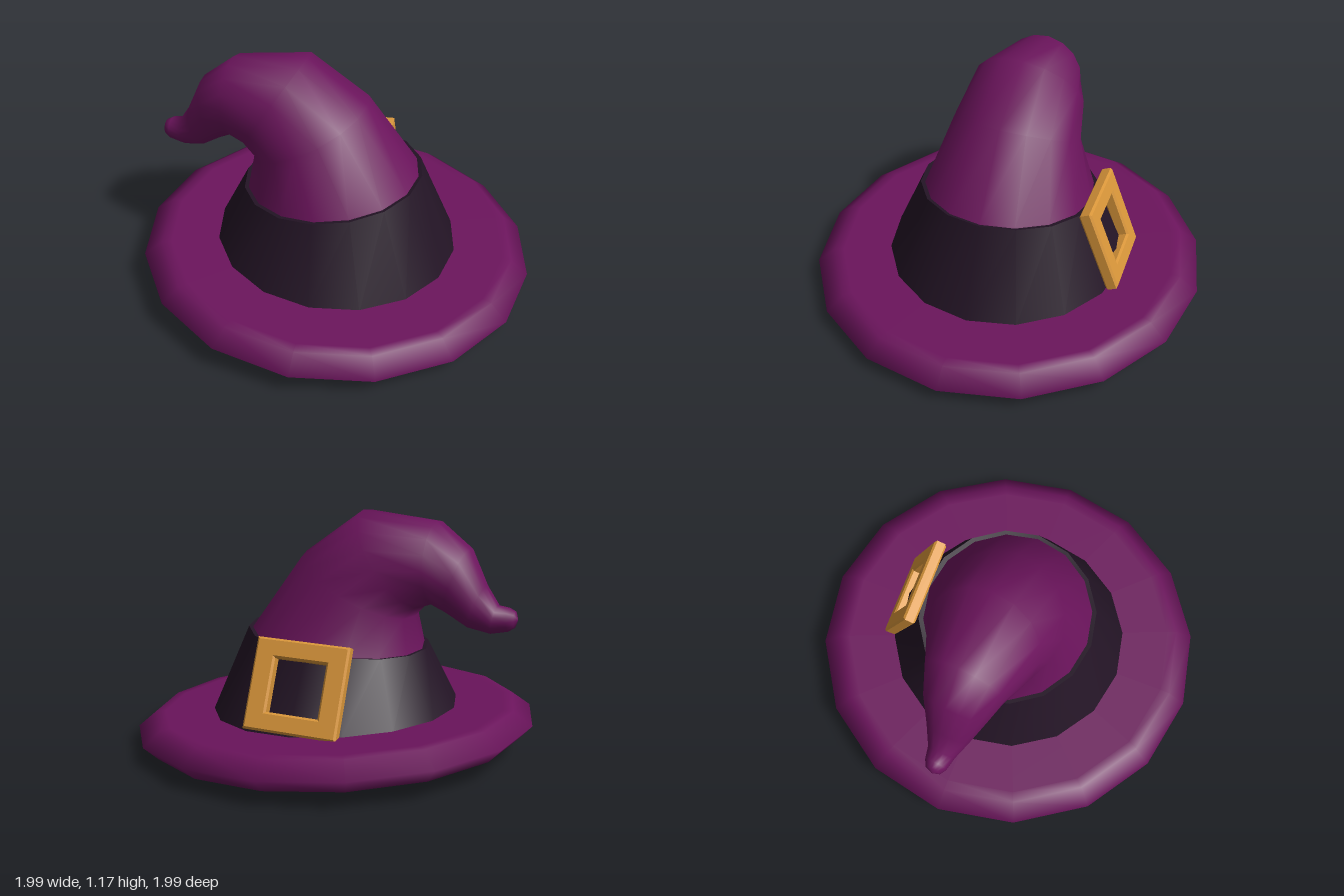
import * as THREE from 'three';

const SIDES = 16;
const PHASE = 0.09;

const material = (color) => new THREE.MeshStandardMaterial({ color, side: THREE.DoubleSide });

// Skin over rings, each given as [outerX, outerY, innerX, innerY, halfDepth]
function loft(rings, drift = 0) {
  const positions = [];
  const index = [];
  rings.forEach(([ox, oy, ix, iy, depth], r) => {
    const cx = (ox + ix) / 2, cy = (oy + iy) / 2;
    for (let i = 0; i < SIDES; i++) {
      const a = (i / SIDES) * Math.PI * 2 - PHASE;
      const c = Math.cos(a);
      positions.push(cx + (ox - ix) / 2 * c, cy + (oy - iy) / 2 * c, cx * drift + depth * Math.sin(a));
      if (r === rings.length - 1) continue;
      const p = r * SIDES + i, q = r * SIDES + (i + 1) % SIDES;
      index.push(p, p + SIDES, q, q, p + SIDES, q + SIDES);
    }
  });
  const geometry = new THREE.BufferGeometry();
  geometry.setAttribute('position', new THREE.Float32BufferAttribute(positions, 3));
  geometry.setIndex(index);
  geometry.computeVertexNormals();
  return geometry;
}

function rectangle(path, w, h) {
  path.moveTo(-w / 2, -h / 2);
  path.lineTo(w / 2, -h / 2);
  path.lineTo(w / 2, h / 2);
  path.lineTo(-w / 2, h / 2);
  path.closePath();
  return path;
}

export function createModel() {
  const hat = new THREE.Group();
  hat.name = 'pointedHat';
  const purple = material(0x6b145c);
  const dark = material(0x231425);
  const gold = material(0xd9963a);

  const add = (name, geometry, mat) => {
    const mesh = new THREE.Mesh(geometry, mat);
    mesh.name = name;
    hat.add(mesh);
    return mesh;
  };

  // Tilted disc brim with a pointed rim
  const profile = [[0, -0.07], [0.88, -0.07], [0.93, -0.068], [1, 0], [0.91, 0.07], [0.86, 0.072], [0, 0.072]]
    .map(([x, y]) => new THREE.Vector2(x, y));
  const brim = add('brim', new THREE.LatheGeometry(profile, SIDES, PHASE), purple);
  brim.position.y = 0.12;
  brim.rotation.z = -0.05;

  // Band: sloping wall, then a thin lip (doubled ring keeps the edge sharp)
  const bandTop = [0.43, 0.597, -0.47, 0.507, 0.45];
  add('band', loft([
    [0.62, 0.15, -0.62, 0.215, 0.62],
    bandTop, bandTop,
    [0.39, 0.585, -0.43, 0.503, 0.40],
  ]), dark);

  // Crown: bends over to the side and ends in a small rounded tip
  add('crown', loft([
    [0.45, 0.52, -0.46, 0.44, 0.45],
    [0.41, 0.595, -0.45, 0.51, 0.425],
    [0.15, 0.96, -0.41, 0.665, 0.325],
    [-0.15, 1.175, -0.455, 0.715, 0.285],
    [-0.52, 1.135, -0.51, 0.735, 0.205],
    [-0.68, 1.01, -0.575, 0.70, 0.16],
    [-0.76, 0.84, -0.68, 0.635, 0.11],
    [-0.82, 0.75, -0.79, 0.612, 0.07],
    [-0.87, 0.742, -0.87, 0.628, 0.056],
    [-0.90, 0.727, -0.90, 0.648, 0.038],
    [-0.914, 0.688, -0.914, 0.688, 0],
  ], -0.06), purple);

  // Square buckle frame leaning against the back of the band
  const frame = rectangle(new THREE.Shape(), 0.43, 0.41);
  frame.holes.push(rectangle(new THREE.Path(), 0.27, 0.27));
  const buckleGeometry = new THREE.ExtrudeGeometry(frame, {
    depth: 0.045, bevelEnabled: true, bevelSize: 0.01, bevelThickness: 0.01, bevelSegments: 1,
  });
  buckleGeometry.center();
  const buckle = add('buckle', buckleGeometry, gold);
  buckle.position.set(-0.057, 0.4, -0.525);
  buckle.rotation.set(0.385, 0.13, 0.05, 'YXZ');

  return hat;
}
